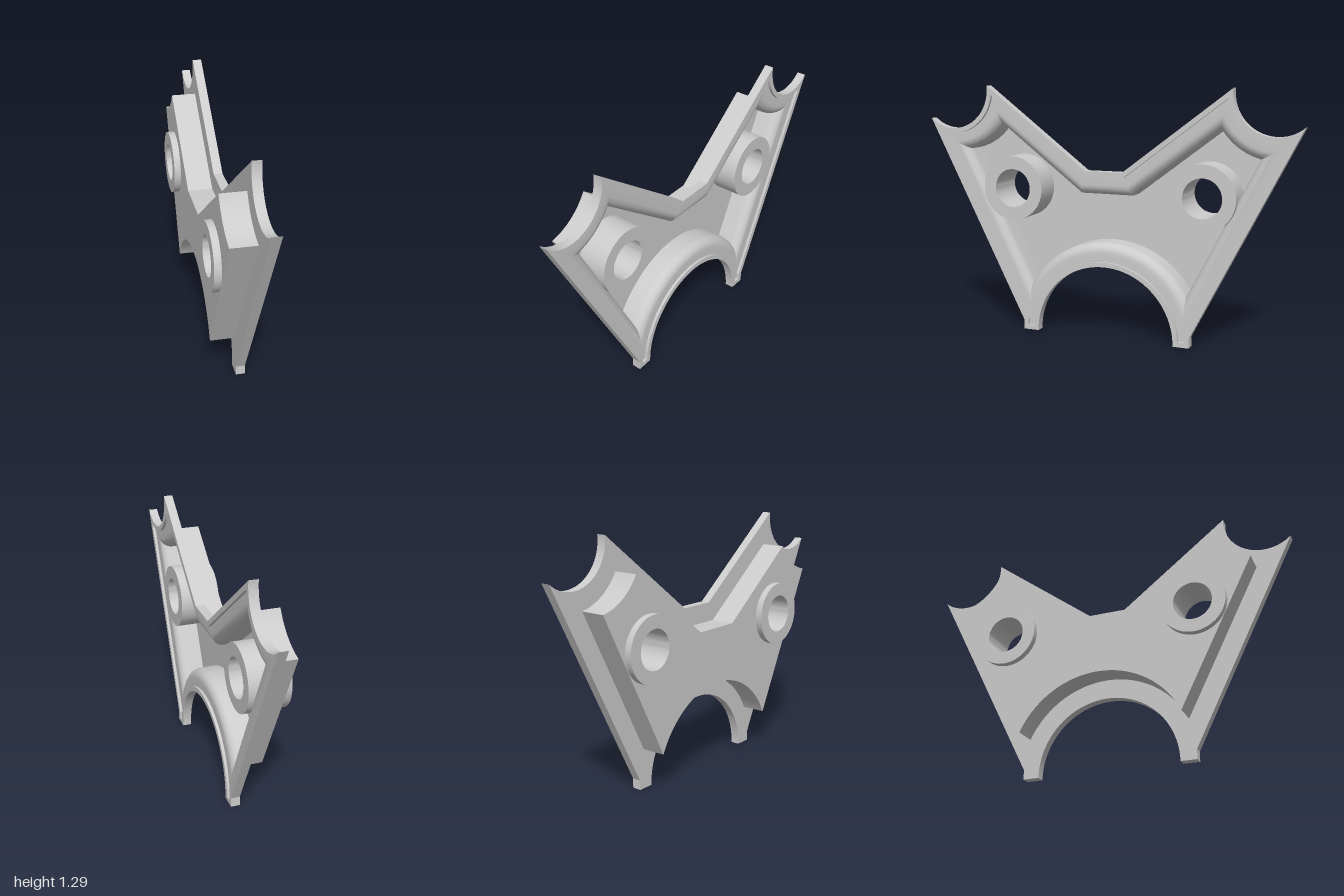
import * as THREE from 'three';
import { toCreasedNormals } from 'three/addons/utils/BufferGeometryUtils.js';

const material = new THREE.MeshStandardMaterial({ color: 0xcccccc });
const V = (x, y) => new THREE.Vector2(x, y);

// Straight edges (outward normal and distance) and the arcs of the plate outline
const SIDE = { n: V(0.891, -0.454), d: 0.386 };
const TOP = { n: V(-0.6045, 0.7966), d: 0.629 };
const ARCH = { c: V(0, 0), r: 0.375 };
const TIP = { c: V(0.865, 1.27), r: 0.207 };
const BOSS = { u: 0.515, y: 0.757, outer: 0.168, inner: 0.1 };

// Where an edge and an arc meet once both are moved inwards by inset
function meet(edge, arc, inset, sign) {
  const r = arc.r + inset;
  const s = edge.d - inset - edge.n.dot(arc.c);
  const t = sign * Math.sqrt(r * r - s * s);
  return V(arc.c.x + edge.n.x * s - edge.n.y * t, arc.c.y + edge.n.y * s + edge.n.x * t);
}

// Points along an arc between two of its points, both included
function arcPoints(arc, inset, from, to, steps) {
  const angle = (p) => {
    const a = Math.atan2(p.y - arc.c.y, p.x - arc.c.x);
    return arc === TIP && a > 0 ? a - 2 * Math.PI : a;
  };
  const a0 = angle(from), a1 = angle(to), r = arc.r + inset;
  return Array.from({ length: steps + 1 }, (_, i) => {
    const a = a0 + (a1 - a0) * i / steps;
    return V(arc.c.x + r * Math.cos(a), arc.c.y + r * Math.sin(a));
  });
}

// Closed plate outline, moved inwards by inset; always the same number of points
function outline(inset) {
  let foot;
  if (inset < 0.04) {
    const r = ARCH.r + inset, u = 0.459 - inset;
    foot = [
      V(Math.sqrt(r * r - inset * inset), inset),
      V(u, inset),
      V(u, (SIDE.n.x * u - SIDE.d + inset) / -SIDE.n.y),
    ];
  } else {
    const p = meet(SIDE, ARCH, inset, 1);
    foot = [p, p, p];
  }
  const lowTip = meet(SIDE, TIP, inset, -1);
  const highTip = meet(TOP, TIP, inset, 1);
  const notchY = 0.865 - inset;
  const notch = V((TOP.n.y * notchY - TOP.d + inset) / -TOP.n.x, notchY);
  const half = [
    ...arcPoints(ARCH, inset, V(0, ARCH.r + inset), foot[0], 32),
    foot[1], foot[2],
    ...arcPoints(TIP, inset, lowTip, highTip, 24),
    notch,
  ];
  const mirrored = half.slice(1).reverse().map((p) => V(-p.x, p.y));
  return [...half, ...mirrored];
}

// Skin through [inset, x] steps of the outline
function loft(profile) {
  const loops = profile.map(([inset, x]) =>
    outline(inset).map((p) => new THREE.Vector3(x, p.y, -p.x)));
  const pos = [];
  const tri = (...t) => {
    if (new THREE.Triangle(...t).getArea() > 1e-9) t.forEach((p) => pos.push(p.x, p.y, p.z));
  };
  for (let i = 0; i + 1 < loops.length; i++) {
    const a = loops[i], b = loops[i + 1];
    for (let j = 0; j < a.length; j++) {
      const k = (j + 1) % a.length;
      tri(a[j], a[k], b[k]);
      tri(a[j], b[k], b[j]);
    }
  }
  const g = new THREE.BufferGeometry();
  g.setAttribute('position', new THREE.Float32BufferAttribute(pos, 3));
  return toCreasedNormals(g, 0.45);
}

// Flat web with the two bolt holes, facing +x or -x
function web(inset, x, facing) {
  const shape = new THREE.Shape(outline(inset).filter((p, i, all) => !i || p.distanceTo(all[i - 1]) > 1e-6));
  for (const s of [-1, 1]) {
    shape.holes.push(new THREE.Path().absarc(s * BOSS.u, BOSS.y, BOSS.inner, 0, Math.PI * 2, true));
  }
  return new THREE.ShapeGeometry(shape, 32).rotateY(facing * Math.PI / 2).translate(x, 0, 0);
}

// Hollow round boss running the full depth
function bossGeometry() {
  const shape = new THREE.Shape().absarc(0, 0, BOSS.outer, 0, Math.PI * 2, false);
  shape.holes.push(new THREE.Path().absarc(0, 0, BOSS.inner, 0, Math.PI * 2, true));
  const g = new THREE.ExtrudeGeometry(shape, { depth: 0.21, bevelEnabled: false, curveSegments: 32 });
  return toCreasedNormals(g.rotateY(Math.PI / 2).translate(-0.105, 0, 0), 0.45);
}

export function createModel() {
  const group = new THREE.Group();
  const add = (name, geometry) => {
    const mesh = new THREE.Mesh(geometry, material);
    mesh.name = name;
    group.add(mesh);
    return mesh;
  };

  // Tray: back block, flange, raised lip, rounded pocket mouth, pocket wall
  const mouth = Array.from({ length: 9 }, (_, i) => {
    const a = i / 8 * Math.PI / 2;
    return [0.07 + 0.05 * Math.sin(a), 0.04 + 0.05 * Math.cos(a)];
  });
  add('flangedTray', loft([
    [0.1, -0.07], [0.1, 0.058], [0, 0.058], [0, 0.105],
    [0.025, 0.105], [0.025, 0.09], ...mouth, [0.12, -0.045],
  ]));
  add('pocketFloor', web(0.12, -0.045, 1));
  add('backFace', web(0.1, -0.07, -1));

  // Bolt bosses
  for (const [side, s] of [['front', 1], ['rear', -1]]) {
    add(side + 'Boss', bossGeometry()).position.set(0, BOSS.y, s * BOSS.u);
  }
  return group;
}
